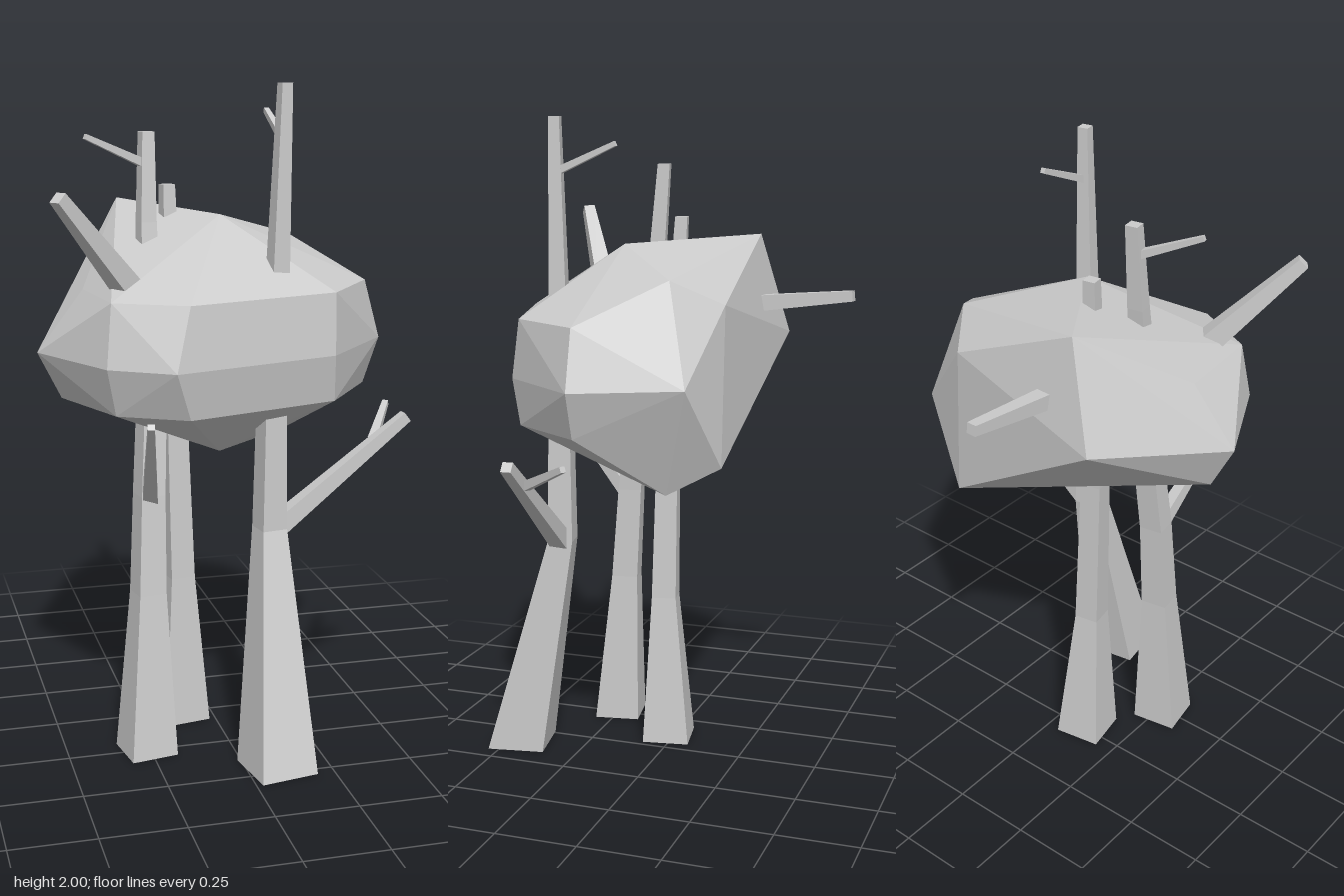
import * as THREE from 'three';
import { ConvexGeometry } from 'three/addons/geometries/ConvexGeometry.js';

const bark = new THREE.MeshStandardMaterial({ color: 0xcccccc, flatShading: true });
const V = (x, y, z) => new THREE.Vector3(x, y, z);

// Square-section tapered limb through stations [x, y, z, width]
function limb(name, stations, upright = false, hollow = 0) {
  const centres = stations.map(([x, y, z]) => V(x, y, z));
  const dir = centres[centres.length - 1].clone().sub(centres[0]).normalize();
  let u, v;
  if (upright) {
    // level sections, turned a little about the vertical axis
    u = V(Math.cos(0.17), 0, -Math.sin(0.17));
    v = V(0, 1, 0).cross(u);
  } else {
    u = dir.clone().cross(V(0, 1, 0)).normalize();
    v = dir.clone().cross(u);
  }
  const rings = stations.map(([, , , w], i) =>
    [[-1, -1], [1, -1], [1, 1], [-1, 1]].map(([a, b]) =>
      centres[i].clone().addScaledVector(u, a * w / 2).addScaledVector(v, b * w / 2)));
  const tris = [];
  const last = rings.length - 1;
  const start = centres[0].clone().add(V(0, hollow, 0));
  for (let k = 0; k < 4; k++) {
    const n = (k + 1) % 4;
    for (let i = 0; i < last; i++) {
      const [a, b, c, d] = [rings[i][k], rings[i][n], rings[i + 1][n], rings[i + 1][k]];
      tris.push(a, b, c, a, c, d);
    }
    tris.push(start, rings[0][n], rings[0][k], centres[last], rings[last][k], rings[last][n]);
  }
  const geometry = new THREE.BufferGeometry().setFromPoints(tris);
  geometry.computeVertexNormals();
  const mesh = new THREE.Mesh(geometry, bark);
  mesh.name = name;
  return mesh;
}

export function createModel() {
  const model = new THREE.Group();
  model.name = 'tree';

  // Faceted crown: a boulder-like hull
  const crownPoints = [
    [0, 1.62, 0.127], [-0.24, 1.645, -0.24], [0.28, 1.535, -0.112], [0.18, 1.46, -0.25],
    // upper ring
    [-0.41, 1.41, 0.11], [-0.38, 1.41, 0.4], [-0.18, 1.41, 0.505], [0.288, 1.41, 0.357], [0.46, 1.41, 0.12],
    // widest ring
    [-0.55, 1.23, 0.125], [-0.4, 1.23, 0.434], [-0.227, 1.23, 0.545], [0.28, 1.23, 0.385],
    [0.51, 1.23, 0.118], [0.36, 1.23, -0.185], [-0.348, 1.33, -0.308],
    // lower ring and underside
    [-0.48, 1.09, 0.12], [-0.37, 1.09, 0.4], [-0.18, 1.09, 0.505], [0.288, 1.09, 0.357], [0.46, 1.09, 0.12],
    [0, 0.9, 0.127], [0.26, 0.9, -0.095], [0.2, 0.98, -0.247],
  ].map(p => V(...p));
  const crown = new THREE.Mesh(new ConvexGeometry(crownPoints), bark);
  crown.name = 'crown';
  model.add(crown);

  // Three trunks running up through the crown
  const trunks = {
    frontTrunk: [[0.093, 0, 0.46, 0.18], [0.11, 0.7, 0.3, 0.078], [0.113, 1.04, 0.298, 0.068],
      [0.13, 1.47, 0.293, 0.052], [0.146, 2, 0.293, 0.033]],
    rightTrunk: [[-0.26, 0, 0.247, 0.145], [-0.245, 0.5, 0.217, 0.085], [-0.235, 0.8, 0.195, 0.075],
      [-0.22, 1.05, 0.165, 0.07], [-0.215, 1.6, 0.093, 0.048], [-0.208, 1.86, 0.07, 0.038]],
    backTrunk: [[-0.105, 0, 0.02, 0.148], [-0.108, 0.48, 0.032, 0.078], [-0.12, 1, 0.025, 0.066],
      [-0.128, 1.7, -0.015, 0.038]],
  };
  for (const [name, stations] of Object.entries(trunks)) model.add(limb(name, stations, true, 0.03));

  // Branches and twigs: start, end
  const branches = {
    lowerBranch: [[0.13, 0.7, 0.3, 0.055], [0.54, 1.015, 0.288, 0.032]],
    lowerBranchTwig: [[0.44, 0.94, 0.275, 0.028], [0.54, 1.02, 0.115, 0.018]],
    rightTrunkBranch: [[-0.235, 0.79, 0.21, 0.045], [-0.285, 1.07, 0.47, 0.02]],
    frontTrunkTwig: [[0.146, 1.84, 0.285, 0.022], [0.147, 1.92, 0.1, 0.015]],
    rightTrunkTwig: [[-0.21, 1.765, 0.08, 0.025], [-0.4, 1.85, 0.135, 0.015]],
    sideBranch: [[-0.31, 1.43, 0.31, 0.065], [-0.53, 1.705, 0.458, 0.036]],
    backBranch: [[-0.166, 1.43, -0.2, 0.052], [-0.153, 1.467, -0.556, 0.032]],
  };
  for (const [name, stations] of Object.entries(branches)) model.add(limb(name, stations));

  return model;
}
